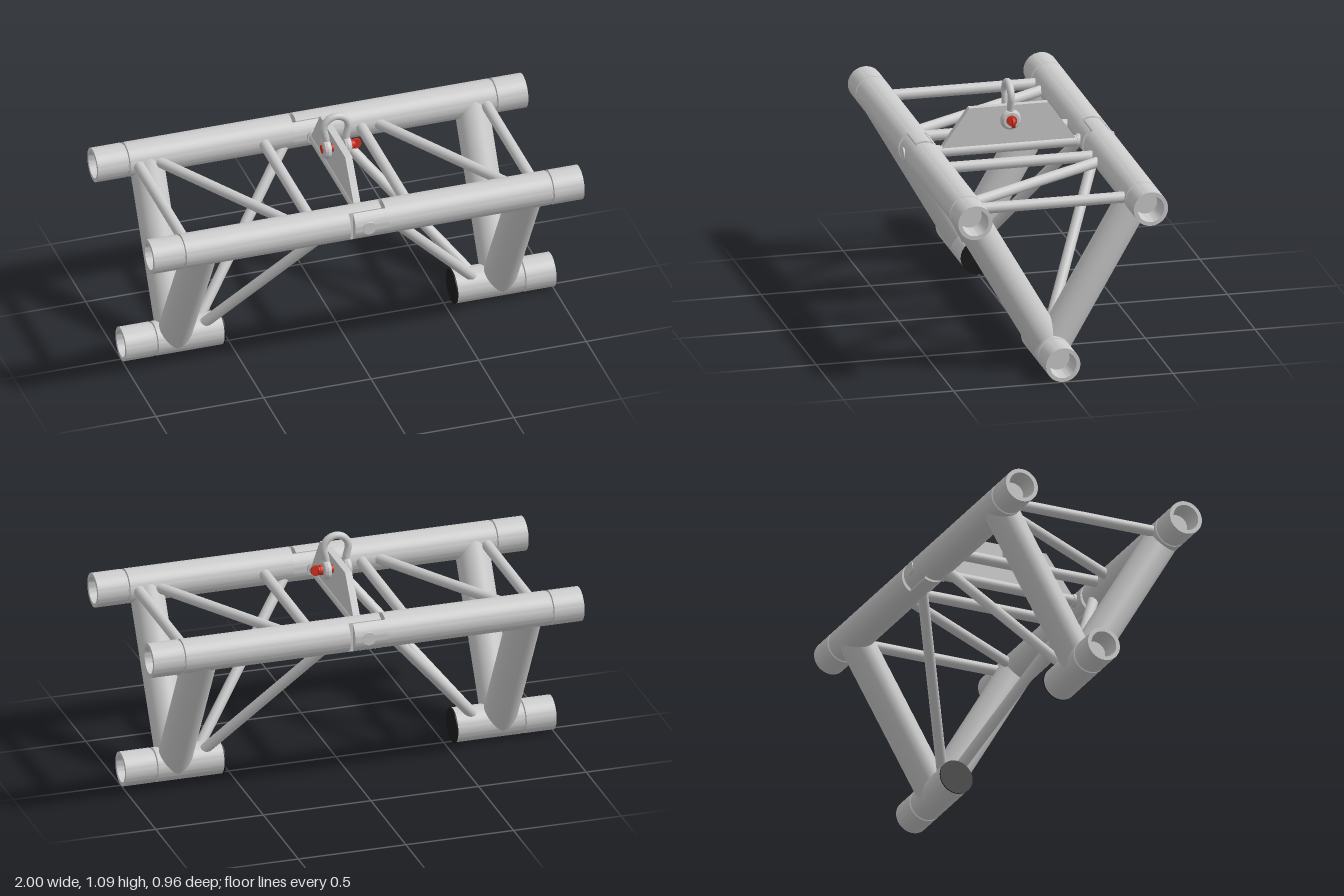
import * as THREE from 'three';
import { toCreasedNormals } from 'three/addons/utils/BufferGeometryUtils.js';

const R = 0.078, TOP = 0.775, LOW = 0.08, SIDE = 0.4;
const grey = new THREE.MeshStandardMaterial({ color: 0xcccccc });
const red = new THREE.MeshStandardMaterial({ color: 0xd03020 });
const black = new THREE.MeshStandardMaterial({ color: 0x1a1a1a });
const V = (x, y, z) => new THREE.Vector3(x, y, z);

function add(parent, name, geometry, material = grey) {
  const mesh = new THREE.Mesh(geometry, material);
  mesh.name = name;
  parent.add(mesh);
  return mesh;
}

// Round bar between two points
function bar(parent, name, a, b, radius, material = grey, sides = 32) {
  const mesh = add(parent, name, new THREE.CylinderGeometry(radius, radius, a.distanceTo(b), sides), material);
  mesh.position.copy(a).add(b).multiplyScalar(0.5);
  mesh.quaternion.setFromUnitVectors(V(0, 1, 0), b.clone().sub(a).normalize());
  return mesh;
}

// Profile of [radius, x] pairs turned around the x axis
function turned(profile) {
  const lathe = new THREE.LatheGeometry(profile.map(([r, x]) => new THREE.Vector2(r, x)), 48);
  return toCreasedNormals(lathe.rotateZ(-Math.PI / 2), 0.5);
}

// Chord tube from x0 to 1 with a groove and a tapered socket at its outer end
const chordTube = (x0) => turned([
  [0, x0], [R, x0], [R, 0.849], [R - 0.008, 0.852], [R - 0.008, 0.858], [R, 0.861],
  [R, 1], [0.06, 1], [0.053, 0.9], [0, 0.9],
]);

// Slice of the round chord section between two z offsets, running from x0 to x1
function slice(lo, hi, x0, x1) {
  const t0 = Math.acos(hi / R), t1 = Math.acos(lo / R), n = 12, pts = [];
  for (const s of [1, -1]) {
    for (let i = 0; i <= n; i++) {
      const k = s > 0 ? i / n : 1 - i / n;
      const t = s * (t0 + (t1 - t0) * k);
      pts.push(new THREE.Vector2(-R * Math.cos(t), R * Math.sin(t)));
    }
  }
  const geo = new THREE.ExtrudeGeometry(new THREE.Shape(pts), { depth: x1 - x0, bevelEnabled: false });
  return toCreasedNormals(geo.rotateY(Math.PI / 2).translate(x0, 0, 0), 0.5);
}

// Half of the frame; the other half is the same turned around y
function frameHalf() {
  const half = new THREE.Group();
  half.name = 'frameHalf';

  // Upper chord with a fork and tongue hinge in the middle
  const chord = new THREE.Group();
  chord.name = 'upperChord';
  chord.position.set(0, TOP, SIDE);
  half.add(chord);
  add(chord, 'upperTube', chordTube(0.085));
  add(chord, 'upperTube', chordTube(0.085)).rotation.y = Math.PI;
  const edge = R * 0.999;
  add(chord, 'forkProng', slice(0.041, edge, -0.065, 0.09));
  add(chord, 'forkProng', slice(-edge, -0.041, -0.065, 0.09));
  add(chord, 'hingeTongue', slice(-0.037, 0.037, -0.09, 0.068));

  // Lower chord stub with a dark inner cap
  add(half, 'lowerTube', chordTube(0.54)).position.y = LOW;
  bar(half, 'endCap', V(0.537, LOW, 0), V(0.543, LOW, 0), R + 0.001, black, 48);

  // Thick struts and thin braces down to the lower chord
  for (const s of [1, -1]) {
    bar(half, 'mainStrut', V(0.755, TOP, s * SIDE), V(0.755, LOW, 0), R - 0.001, grey, 48);
    bar(half, 'sideBrace', V(0.1, 0.766, s * 0.375), V(0.63, 0.126, s * 0.025), 0.024);
  }

  // Top lacing
  for (const x of [0.225, 0.808]) bar(half, 'crossBar', V(x, TOP, -0.38), V(x, TOP, 0.38), 0.025);
  bar(half, 'topDiagonal', V(0.286, TOP, -0.37), V(0.734, TOP, 0.37), 0.024);
  return half;
}

// Lifting shackle with its red screw pin
function shackle() {
  const group = new THREE.Group();
  group.name = 'shackle';
  const y = 0.915;
  const path = [V(-0.046, y + 0.02, 0), V(-0.047, 0.965, 0)];
  for (let i = 0; i <= 8; i++) {
    const t = Math.PI * (1.13 - i * 1.26 / 8);
    path.push(V(0.058 * Math.cos(t), 1.015 + 0.058 * Math.sin(t), 0));
  }
  path.push(V(0.047, 0.965, 0), V(0.046, y + 0.02, 0));
  add(group, 'bow', new THREE.TubeGeometry(new THREE.CatmullRomCurve3(path), 64, 0.0165, 16));

  const eye = [[0, -0.018], [0.035, -0.018], [0.043, -0.013], [0.047, 0], [0.043, 0.013], [0.035, 0.018], [0, 0.018]];
  for (const s of [1, -1]) add(group, 'eye', turned(eye)).position.set(s * 0.047, y, 0);

  bar(group, 'pin', V(-0.068, y, 0), V(0.085, y, 0), 0.019, red);
  bar(group, 'pinCollar', V(0.064, y, 0), V(0.076, y, 0), 0.023, red);
  bar(group, 'pinHead', V(0.093, y, -0.006), V(0.093, y, 0.006), 0.024, red);
  return group;
}

export function createModel() {
  const model = new THREE.Group();
  const front = frameHalf();
  const back = front.clone();
  back.rotation.y = Math.PI;
  model.add(front, back);

  // Hinge pins and the bar carrying the lifting plate
  for (const s of [1, -1]) bar(model, 'hingePin', V(0, TOP, s * 0.31), V(0, TOP, s * 0.481), 0.03);
  bar(model, 'centreBar', V(0, TOP, -0.38), V(0, TOP, 0.38), 0.025);

  // Trapezoid lifting plate
  const outline = [[-0.31, 0.785], [0.31, 0.785], [0.3, 0.8], [0.18, 0.97], [-0.18, 0.97], [-0.3, 0.8]];
  const plate = new THREE.ExtrudeGeometry(
    new THREE.Shape(outline.map(([z, y]) => new THREE.Vector2(z, y))), { depth: 0.032, bevelEnabled: false });
  add(model, 'liftingPlate', plate.translate(0, 0, -0.016).rotateY(Math.PI / 2));

  model.add(shackle());
  return model;
}
